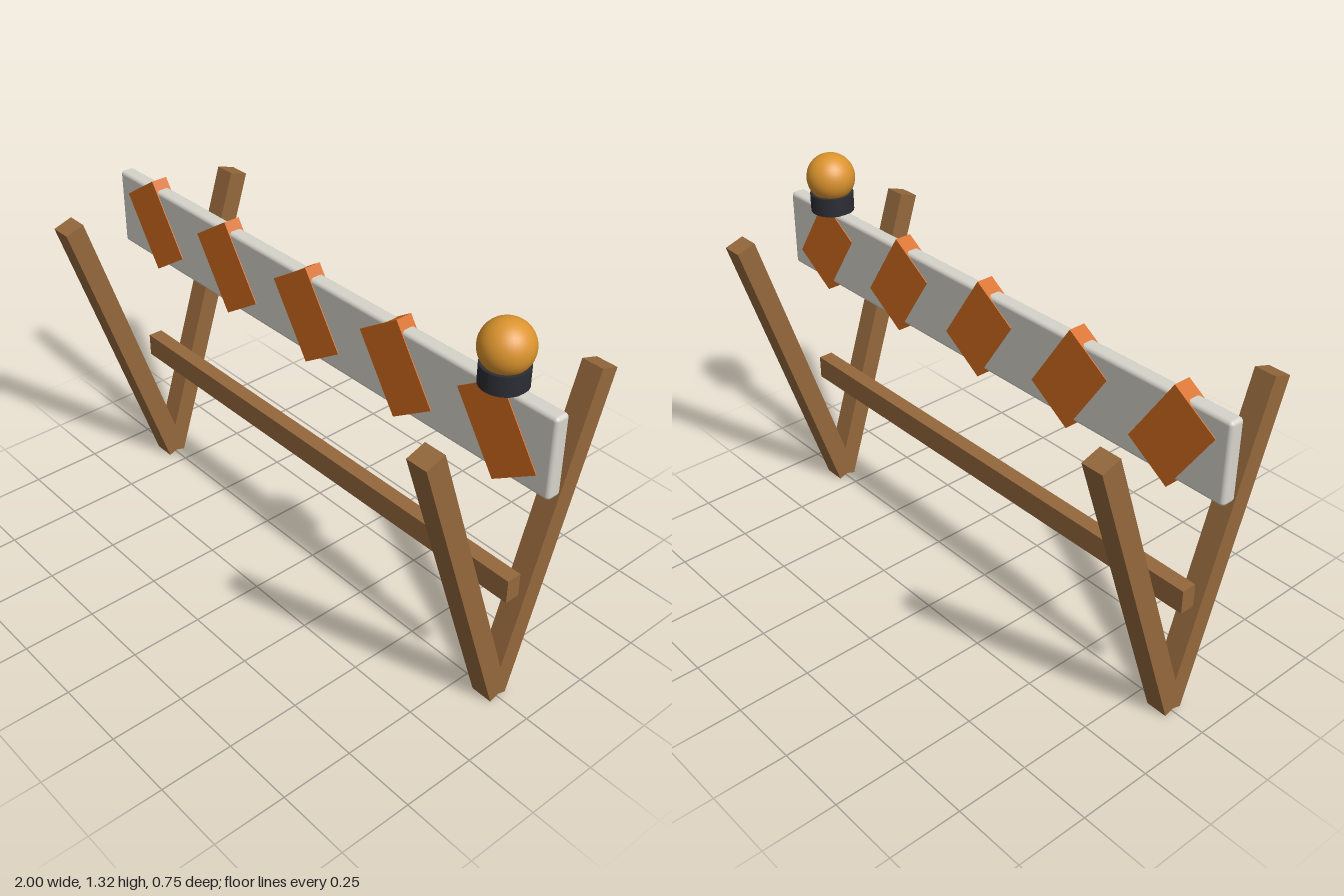
import * as THREE from 'three';
import { RoundedBoxGeometry } from 'three/addons/geometries/RoundedBoxGeometry.js';

const material = (name, color) => {
  const m = new THREE.MeshStandardMaterial({ color });
  m.name = name;
  return m;
};

export function createModel() {
  const wood = material('wood', 0x94683c);
  const white = material('white paint', 0xd6d4cb);
  const orange = material('orange paint', 0xd66e20);
  const amber = material('amber lens', 0xdc942e);
  const dark = material('dark plastic', 0x2c2d34);

  const model = new THREE.Group();
  model.name = 'barricade';
  const add = (name, geometry, mat, x, y, z) => {
    const mesh = new THREE.Mesh(geometry, mat);
    mesh.name = name;
    mesh.position.set(x, y, z);
    model.add(mesh);
    return mesh;
  };

  // Two V-shaped pairs of legs, meeting at the ground
  const legGeometry = new THREE.BoxGeometry(0.075, 1.11, 0.07);
  for (const side of [1, -1]) {
    for (const face of [1, -1]) {
      const name = (side > 0 ? 'left' : 'right') + (face > 0 ? 'Front' : 'Back') + 'Leg';
      const leg = add(name, legGeometry, wood, side * 0.842, 0.539, face * 0.171);
      leg.rotation.x = face * THREE.MathUtils.degToRad(18);
    }
  }

  // Lower cross rail
  add('crossRail', new THREE.BoxGeometry(1.79, 0.082, 0.052), wood, 0, 0.456, 0);

  // Warning board with softened edges
  add('board', new RoundedBoxGeometry(2, 0.27, 0.052, 3, 0.013), white, 0, 0.985, 0);

  // Slanted stripes wrapping through the board
  const stripeGeometry = new THREE.BoxGeometry(0.182, 0.28, 0.058);
  for (let i = -2; i <= 2; i++) {
    const stripe = add('stripe', stripeGeometry, orange, i * 0.4, 0.983, 0);
    stripe.rotation.z = 0.58;
  }

  // Warning lamp
  add('lampBase', new THREE.CylinderGeometry(0.073, 0.073, 0.063, 32), dark, 0.787, 1.15, 0);
  add('lampGlobe', new THREE.SphereGeometry(0.082, 32, 20), amber, 0.787, 1.235, 0);

  return model;
}
